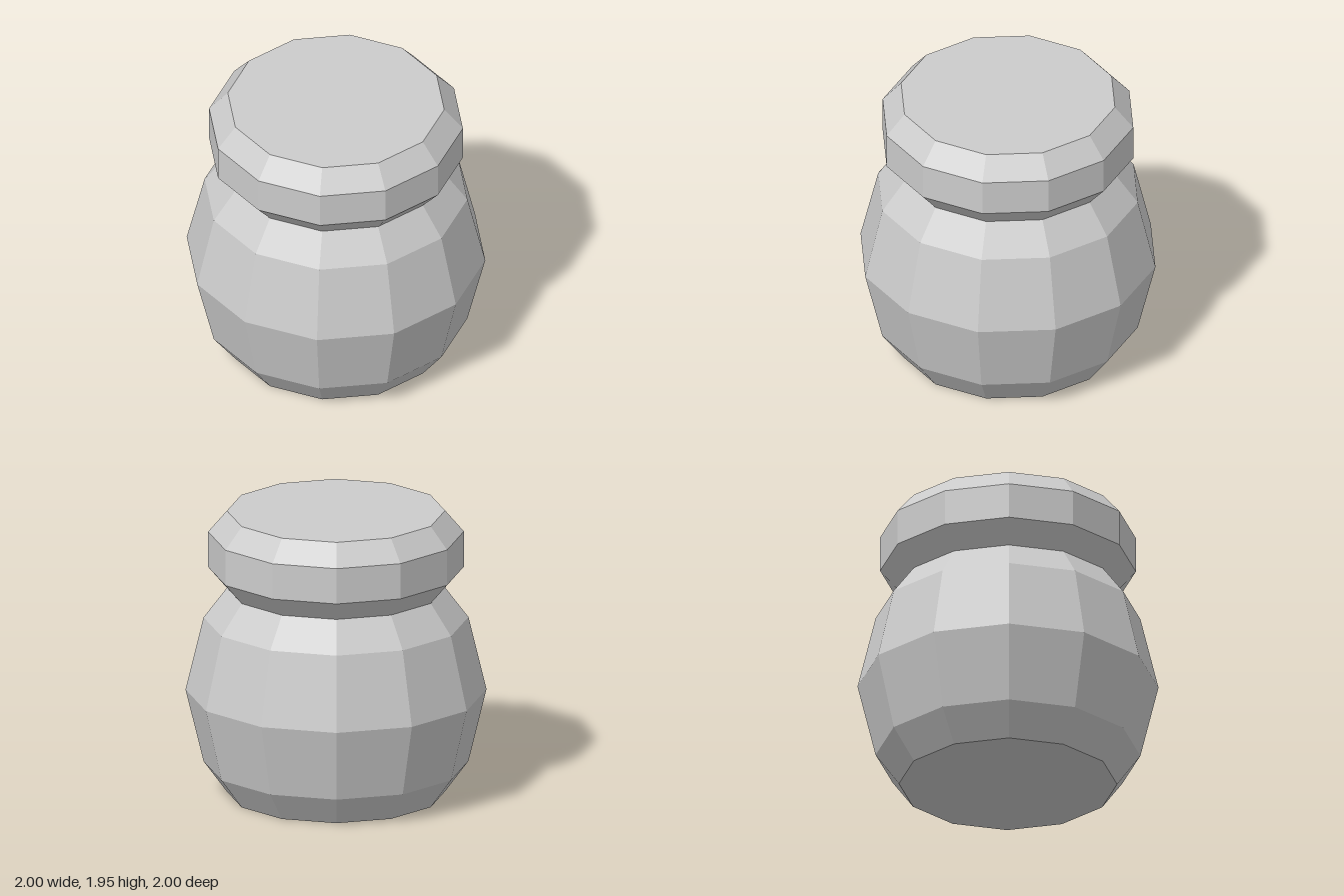
import * as THREE from 'three';

const SIDES = 12;

// Turns a [radius, height] profile, listed bottom to top, into a faceted part
function turned(name, profile, material) {
  const points = profile.map(([r, y]) => new THREE.Vector2(r, y));
  const mesh = new THREE.Mesh(new THREE.LatheGeometry(points, SIDES), material);
  mesh.name = name;
  return mesh;
}

export function createModel() {
  const group = new THREE.Group();
  group.name = 'liddedJar';
  const material = new THREE.MeshStandardMaterial({ color: 0xcccccc, flatShading: true });

  // Bulging body, from the flat base up to the neck
  const body = turned('jarBody', [
    [0, 0], [0.725, 0], [0.88, 0.21], [1, 0.71], [0.88, 1.21], [0.725, 1.415],
  ], material);

  // Lid with bevelled rims and a flat top, seated on the neck
  const lid = turned('lid', [
    [0.725, 1.415], [0.85, 1.56], [0.85, 1.805], [0.725, 1.95], [0, 1.95],
  ], material);

  group.add(body, lid);
  return group;
}
